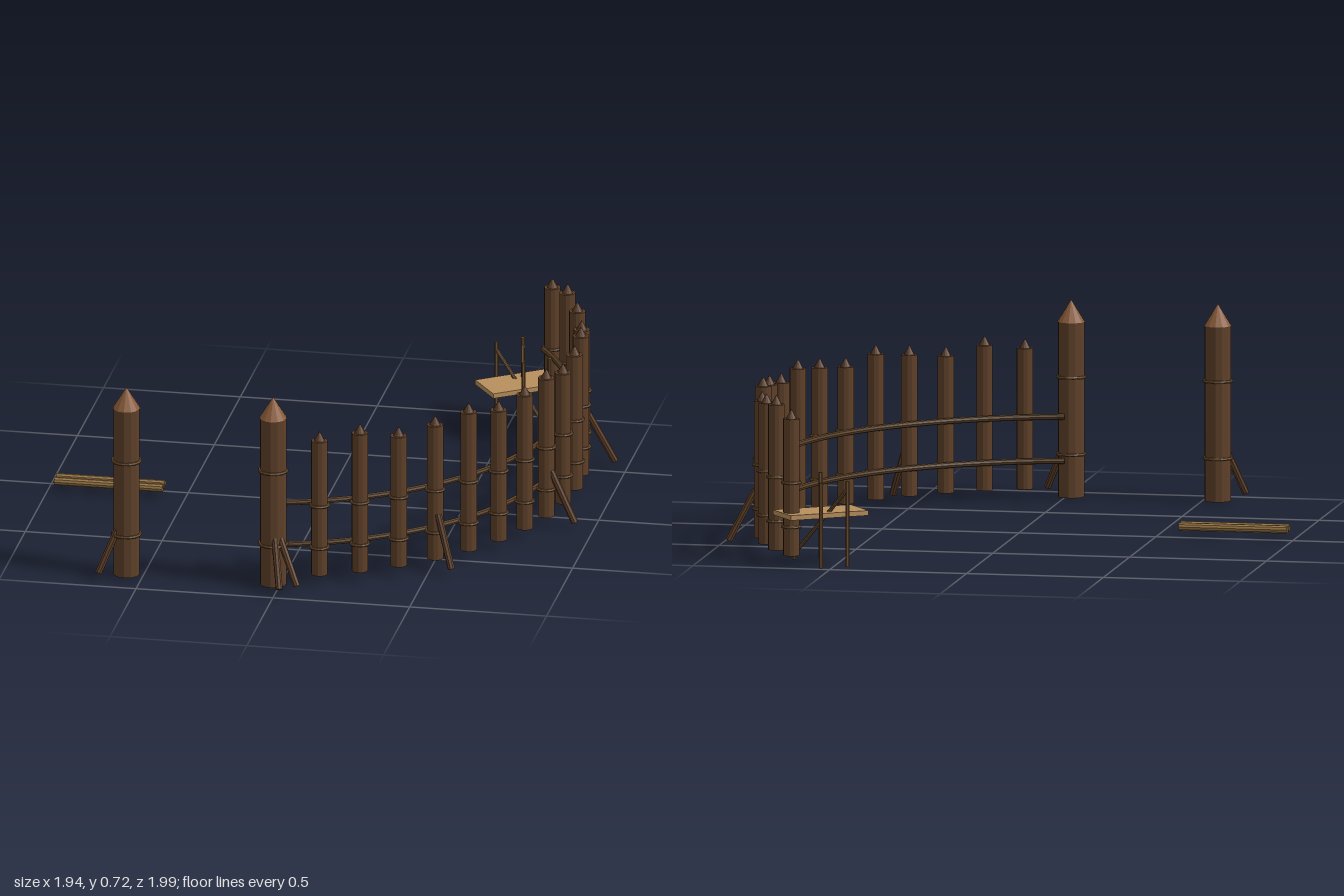
import * as THREE from 'three';

const mat = (color) => new THREE.MeshStandardMaterial({ color, flatShading: true });
const bark = mat(0x5e4029), tip = mat(0x8a5c3a), stakeTip = mat(0x553722), rope = mat(0x6b4c2c);
const railWood = mat(0x5c4228), braceWood = mat(0x5f4028), poleWood = mat(0x735431);
const plank = mat(0xb88f5c), logWood = mat(0x9a7848);
const V = (x, y, z) => new THREE.Vector3(x, y, z);

function add(parent, name, geometry, material, x = 0, y = 0, z = 0) {
  const mesh = new THREE.Mesh(geometry, material);
  mesh.name = name;
  mesh.position.set(x, y, z);
  parent.add(mesh);
  return mesh;
}

// Round pole running between two points
function pole(parent, name, a, b, r, material, sides = 8) {
  const d = b.clone().sub(a);
  const mesh = add(parent, name, new THREE.CylinderGeometry(r, r, d.length(), sides), material);
  mesh.position.copy(a).addScaledVector(d, 0.5);
  mesh.quaternion.setFromUnitVectors(V(0, 1, 0), d.normalize());
  return mesh;
}

// Upright trunk with a pointed top and rope lashings
function trunk(name, x, z, o) {
  const g = new THREE.Group();
  g.name = name;
  g.position.set(x, 0, z);
  add(g, 'trunk', new THREE.CylinderGeometry(o.r, o.r, o.top - o.bottom, 12), bark, 0, (o.top + o.bottom) / 2, 0);
  add(g, 'point', new THREE.ConeGeometry(o.tipR, o.tipH, 12), o.tipMat, 0, o.top + o.tipH / 2, 0);
  for (const y of o.ropes) {
    add(g, 'lashing', new THREE.TorusGeometry(o.r + 0.002, 0.006, 6, 16), rope, 0, y, 0).rotation.x = Math.PI / 2;
  }
  return g;
}

// Curve along the palisade at a constant height
class Arc extends THREE.Curve {
  constructor(radius, y, a0, a1) {
    super();
    Object.assign(this, { radius, y, a0, a1 });
  }
  getPoint(t, target = new THREE.Vector3()) {
    const a = THREE.MathUtils.degToRad(this.a0 + (this.a1 - this.a0) * t);
    return target.set(-0.275 + Math.cos(a) * this.radius, this.y, -0.25 + Math.sin(a) * this.radius);
  }
}

export function createModel() {
  const model = new THREE.Group();
  model.name = 'palisade';

  // Gate posts
  const postShape = { r: 0.048, bottom: 0.005, top: 0.64, tipR: 0.05, tipH: 0.08, tipMat: tip, ropes: [0.16, 0.44] };
  model.add(trunk('rightGatePost', -0.56, 0.868, postShape));
  model.add(trunk('leftGatePost', -0.024, 0.868, postShape));

  // Row of stakes on an arc, heights repeating in threes
  const row = new Arc(1.146, 0, 69, -35.7);
  const tops = [0.547, 0.563, 0.532];
  for (let i = 0; i < 15; i++) {
    const p = row.getPoint(i / 14);
    model.add(trunk('stake', p.x, p.z, {
      r: 0.03, bottom: 0.036, top: tops[i % 3], tipR: 0.02, tipH: 0.035, tipMat: stakeTip, ropes: [0.14, 0.3],
    }));
  }

  // Two curved rails inside the stakes
  for (const y of [0.14, 0.3]) {
    add(model, 'rail', new THREE.TubeGeometry(new Arc(1.108, y, 76, -35.5), 40, 0.011, 8), railWood);
  }

  // Slanting braces: foot of each, and the post it leans on
  const braces = [
    [-0.56, 0.868, -0.65, 0.933], [-0.024, 0.868, 0.02, 0.982], [-0.024, 0.868, 0.075, 0.935],
    [0.513, 0.585, 0.588, 0.662], [0.82, 0.08, 0.933, 0.108], [0.84, -0.51, 0.957, -0.54],
  ];
  for (const [x, z, fx, fz] of braces) {
    const t = 0.2;
    pole(model, 'brace', V(x + (fx - x) * t, 0.21, z + (fz - z) * t), V(fx, 0.026, fz), 0.013, braceWood);
  }

  // Lookout platform with four legs and crossed struts
  const stand = new THREE.Group();
  stand.name = 'platform';
  stand.position.set(0.562, 0, -0.848);
  stand.rotation.y = THREE.MathUtils.degToRad(35);
  add(stand, 'deck', new THREE.BoxGeometry(0.306, 0.018, 0.158), plank, 0, 0.183, 0);
  for (const x of [-0.052, 0.052]) {
    for (const z of [-0.118, 0.118]) pole(stand, 'leg', V(x, 0, z), V(x, 0.31, z), 0.008, poleWood);
    pole(stand, 'strut', V(x, 0.28, -0.118), V(-x, 0.02, 0.118), 0.007, poleWood);
  }
  model.add(stand);

  // Two loose logs
  for (const z of [0.024, 0.064]) pole(model, 'log', V(-0.976, 0.036, z), V(-0.58, 0.036, z), 0.015, logWood, 10);

  return model;
}
